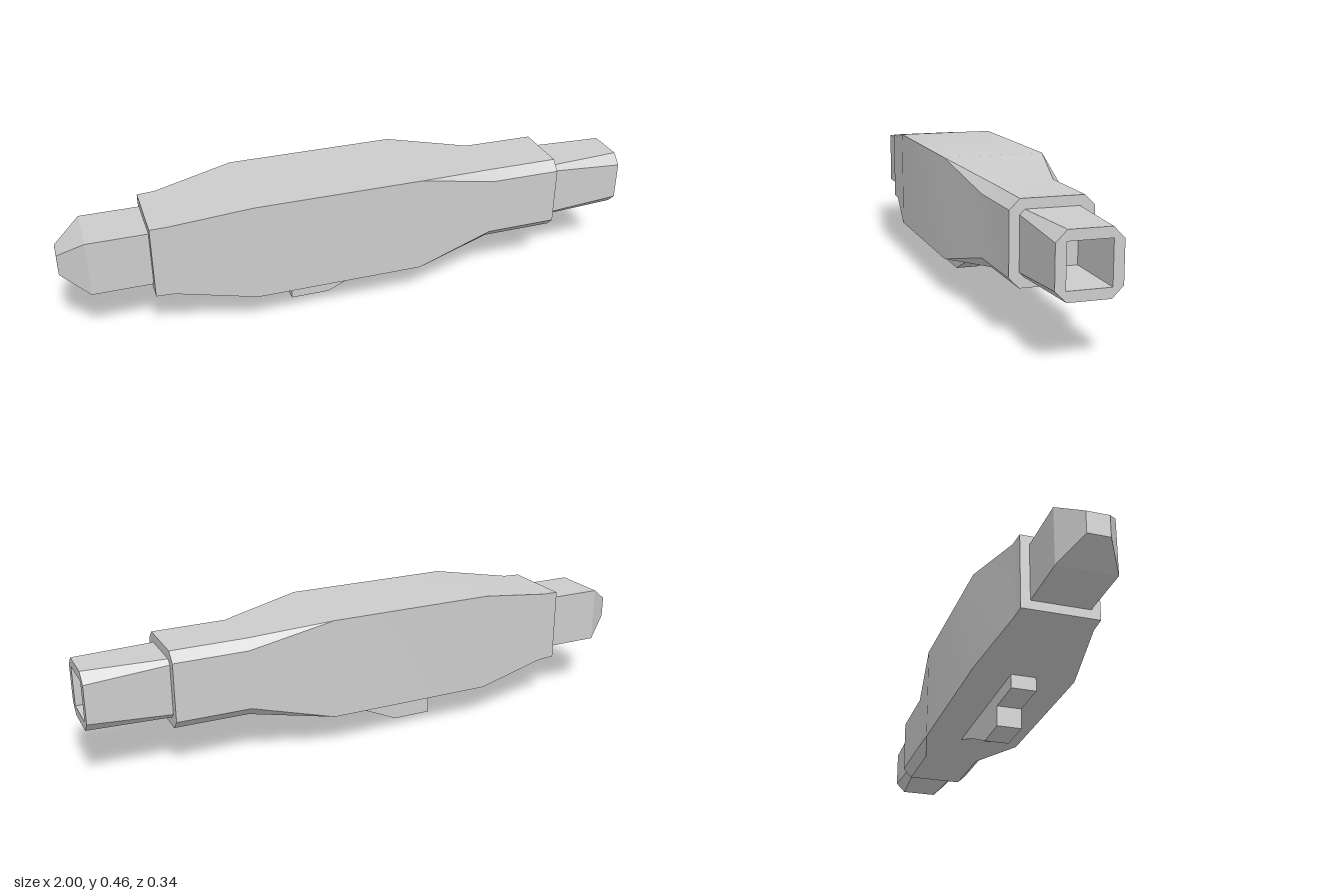
import * as THREE from 'three';
import { toCreasedNormals } from 'three/addons/utils/BufferGeometryUtils.js';

const AXIS_Y = 0.287;
const material = new THREE.MeshStandardMaterial({ color: 0xcccccc });

// Square cross-section at x with half-size h and corner chamfer c
function section([x, h, c = 0]) {
  const points = [];
  for (let k = 0; k < 4; k++) {
    const cos = Math.round(Math.cos(k * Math.PI / 2));
    const sin = Math.round(Math.sin(k * Math.PI / 2));
    for (const [u, v] of [[h, h - c], [h - c, h]]) {
      points.push(new THREE.Vector3(x, AXIS_Y + u * sin + v * cos, -(u * cos - v * sin)));
    }
  }
  return points;
}

// Skin a list of sections; a section of half-size 0 closes an end
function loft(name, profile) {
  const rings = profile.map(section);
  const positions = [];
  const triangle = (a, b, c) => {
    const area = b.clone().sub(a).cross(c.clone().sub(a)).length();
    if (area > 1e-8) for (const p of [a, b, c]) positions.push(p.x, p.y, p.z);
  };
  for (let i = 0; i < rings.length - 1; i++) {
    for (let j = 0; j < 8; j++) {
      const n = (j + 1) % 8;
      triangle(rings[i][j], rings[i][n], rings[i + 1][n]);
      triangle(rings[i][j], rings[i + 1][n], rings[i + 1][j]);
    }
  }
  const geometry = new THREE.BufferGeometry();
  geometry.setAttribute('position', new THREE.Float32BufferAttribute(positions, 3));
  const mesh = new THREE.Mesh(toCreasedNormals(geometry, 0.5), material);
  mesh.name = name;
  return mesh;
}

export function createModel() {
  const group = new THREE.Group();
  group.name = 'squareTubeDevice';

  // Swollen square body narrowing to a chamfered collar
  group.add(loft('body', [
    [-0.71, 0], [-0.71, 0.125], [-0.65, 0.127], [-0.38, 0.17], [0.2, 0.17],
    [0.48, 0.132, 0.032], [0.73, 0.131, 0.032], [0.73, 0],
  ]));

  // Tapered tail plug
  group.add(loft('tail', [
    [-1, 0], [-1, 0.036], [-0.91, 0.095], [-0.7, 0.095], [-0.7, 0],
  ]));

  // Hollow nozzle with corners that bevel toward the mouth
  group.add(loft('nozzle', [
    [0.5, 0], [0.5, 0.1], [1, 0.099, 0.034], [1, 0.067], [0.76, 0.067], [0.76, 0],
  ]));

  // Stepped fin underneath
  const outline = [
    [-0.375, 0.14], [-0.375, 0.07], [-0.23, 0.07], [-0.23, 0],
    [-0.095, 0], [0.05, 0.065], [0.2, 0.12], [0.15, 0.14],
  ].map(([x, y]) => new THREE.Vector2(x, y));
  const finGeometry = new THREE.ExtrudeGeometry(new THREE.Shape(outline), {
    depth: 0.084, bevelEnabled: false,
  });
  finGeometry.translate(0, 0, -0.042);
  const fin = new THREE.Mesh(finGeometry, material);
  fin.name = 'fin';
  group.add(fin);

  return group;
}
